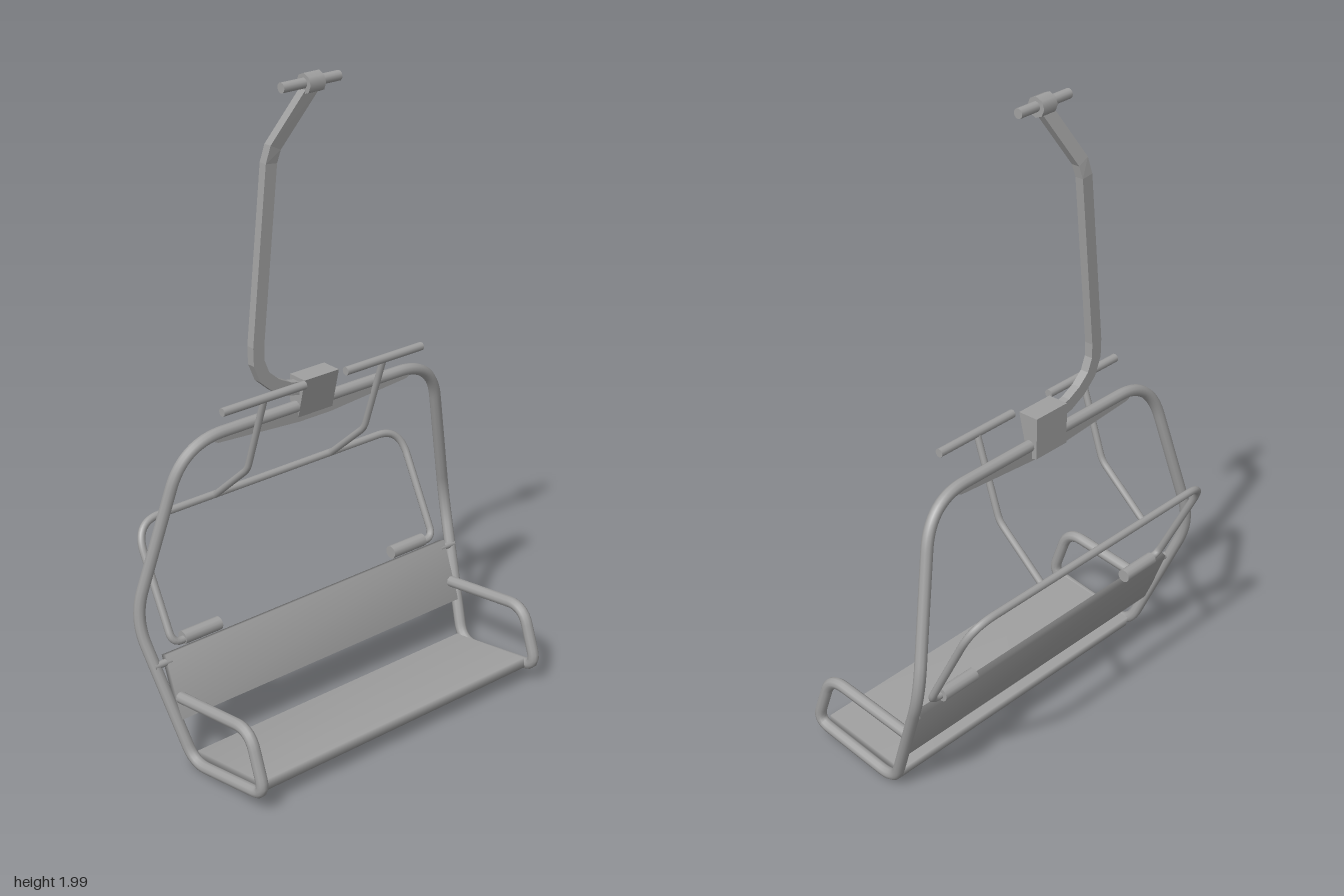
import * as THREE from 'three';
import { mergeVertices } from 'three/addons/utils/BufferGeometryUtils.js';

const V = (x, y, z) => new THREE.Vector3(x, y, z);

// Polyline with rounded corners; each point is [x, y, z, cornerLength]
function roundedPath(points) {
  const path = new THREE.CurvePath();
  let last = V(...points[0].slice(0, 3));
  for (let i = 1; i < points.length; i++) {
    const p = V(...points[i].slice(0, 3));
    const r = points[i][3] || 0;
    if (!r || i === points.length - 1) {
      path.add(new THREE.LineCurve3(last, p));
      last = p;
      continue;
    }
    const prev = V(...points[i - 1].slice(0, 3));
    const next = V(...points[i + 1].slice(0, 3));
    const a = p.clone().add(prev.sub(p).setLength(r));
    const b = p.clone().add(next.sub(p).setLength(r));
    path.add(new THREE.LineCurve3(last, a));
    path.add(new THREE.QuadraticBezierCurve3(a, p, b));
    last = b;
  }
  return path;
}

// Appends the mirror image of a half path that starts at x > 0
const mirrored = (half) => [...half, ...half.slice().reverse().map(([x, ...rest]) => [-x, ...rest])];

// Thin slab with normals shared across its edges
function softSlab(w, h, d) {
  const g = new THREE.BoxGeometry(w, h, d);
  g.deleteAttribute('normal');
  g.deleteAttribute('uv');
  const merged = mergeVertices(g);
  merged.computeVertexNormals();
  return merged;
}

// Rectangular bar swept along a path running from top to bottom
function flatBar(path, w, d) {
  const n = path.length - 1;
  const g = new THREE.BoxGeometry(w, 1, d, 1, n, 1);
  const pos = g.attributes.position;
  for (let i = 0; i < pos.count; i++) {
    const k = Math.round((0.5 - pos.getY(i)) * n);
    const a = path[Math.max(k - 1, 0)], b = path[Math.min(k + 1, n)];
    const t = new THREE.Vector2(b[0] - a[0], b[1] - a[1]).normalize();
    const off = pos.getX(i), [px, py, pz] = path[k];
    pos.setXYZ(i, px - t.y * off, py + t.x * off, pz + pos.getZ(i));
  }
  const flat = g.toNonIndexed();
  flat.computeVertexNormals();
  return flat;
}

export function createModel() {
  const group = new THREE.Group();
  const steel = new THREE.MeshStandardMaterial({ color: 0xa0a0a0 });
  steel.name = 'grey steel';

  const add = (name, geometry, x = 0, y = 0, z = 0) => {
    const mesh = new THREE.Mesh(geometry, steel);
    mesh.name = name;
    mesh.position.set(x, y, z);
    group.add(mesh);
    return mesh;
  };
  const tube = (name, points, r, segments) =>
    add(name, new THREE.TubeGeometry(roundedPath(points), segments, r, 10, false));
  const rod = (name, r, length, x, y, z, sides = 12) =>
    add(name, new THREE.CylinderGeometry(r, r, length, sides).rotateZ(Math.PI / 2), x, y, z);

  // Main frame: armrests, side rails and top bar in one bent tube
  tube('mainFrame', mirrored([
    [0.542, 0.21, -0.075],
    [0.542, 0.256, 0.25, 0.06],
    [0.542, 0.07, 0.315, 0.05],
    [0.542, 0.014, -0.015, 0.06],
    [0.612, 0.45, -0.192, 0.09],
    [0.475, 0.99, -0.115, 0.14],
  ]), 0.018, 320);

  // Seat and backrest slabs
  const seat = add('seat', softSlab(1.05, 0.032, 0.305), 0, 0.052, 0.13);
  seat.rotation.x = -0.15;
  const backrest = add('backrest', softSlab(1.11, 0.2, 0.022), 0, 0.238, -0.1);
  backrest.rotation.x = -0.37;

  // Safety bar, swung up behind the chair
  tube('safetyBar', mirrored([
    [0.42, 0.352, -0.145],
    [0.518, 0.352, -0.14, 0.035],
    [0.518, 0.682, -0.31, 0.09],
  ]), 0.012, 200);

  for (const side of [-1, 1]) {
    // Bar pads, pivots and raised footrests
    rod('barPad', 0.021, 0.135, side * 0.41, 0.355, -0.147);
    rod('barPivot', 0.011, 0.06, side * 0.567, 0.31, -0.127);
    tube('footrestStrut', [
      [side * 0.226, 0.682, -0.306],
      [side * 0.226, 0.825, -0.145, 0.02],
      [side * 0.226, 1.08, -0.06],
    ], 0.0105, 40);
    rod('footrest', 0.013, 0.3, side * 0.228, 1.08, -0.06);
  }

  // Tapered gusset below the top bar
  const gussetShape = new THREE.Shape([
    new THREE.Vector2(-0.4, 0.985), new THREE.Vector2(-0.36, 0.965), new THREE.Vector2(-0.06, 0.943),
    new THREE.Vector2(0.06, 0.943), new THREE.Vector2(0.36, 0.965), new THREE.Vector2(0.4, 0.985),
  ]);
  add('gusset', new THREE.ExtrudeGeometry(gussetShape, { depth: 0.02, bevelEnabled: false }), 0, 0, -0.125);

  // Wedge-shaped clamp block, profile drawn as (-z, y)
  const clampShape = new THREE.Shape([
    new THREE.Vector2(0.108, 0.945), new THREE.Vector2(0.142, 0.955),
    new THREE.Vector2(0.142, 1.085), new THREE.Vector2(0.075, 1.085),
  ]);
  add('clampBlock', new THREE.ExtrudeGeometry(clampShape, { depth: 0.13, bevelEnabled: false })
    .rotateY(Math.PI / 2), -0.065, 0, 0);

  // Hanger arm
  add('hangerArm', flatBar([
    [-0.05, 1.965, -0.052], [-0.148, 1.795, -0.105], [-0.158, 1.75, -0.112],
    [-0.213, 1.22, -0.112], [-0.212, 1.17, -0.112], [-0.192, 1.122, -0.112],
    [-0.15, 1.085, -0.112], [-0.1, 1.06, -0.112], [0, 1.04, -0.112],
  ], 0.04, 0.027));

  // Cable grip at the top
  rod('gripBar', 0.015, 0.205, -0.056, 1.972, -0.053);
  rod('gripHub', 0.03, 0.055, -0.052, 1.97, -0.053, 8);

  // Stand the model on the ground
  const box = new THREE.Box3().setFromObject(group);
  group.children.forEach((part) => { part.position.y -= box.min.y; });
  return group;
}
